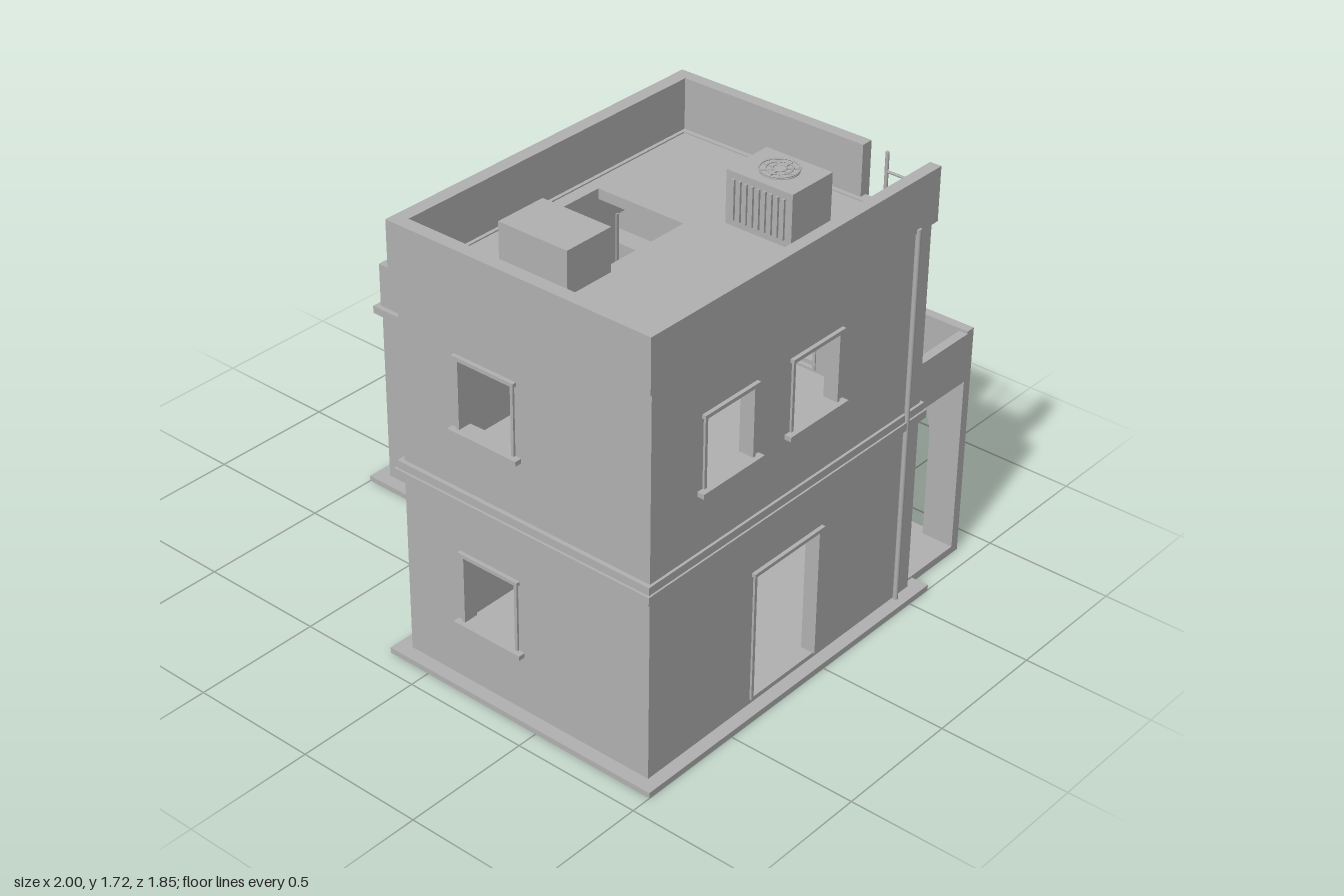
import * as THREE from 'three';

export function createModel() {
  const model = new THREE.Group();
  model.name = 'house';
  const plaster = new THREE.MeshStandardMaterial({ color: 0xb2b2b2 });
  plaster.name = 'grey plaster';

  const add = (name, geo) => {
    const m = new THREE.Mesh(geo, plaster);
    m.name = name;
    model.add(m);
    return m;
  };
  // box from its minimum and maximum on each axis
  const box = (name, x0, x1, y0, y1, z0, z1) => {
    const m = add(name, new THREE.BoxGeometry(x1 - x0, y1 - y0, z1 - z0));
    m.position.set((x0 + x1) / 2, (y0 + y1) / 2, (z0 + z1) / 2);
    return m;
  };
  const rod = (name, a, b, r, sides = 8) => {
    const p = new THREE.Vector3(...a), q = new THREE.Vector3(...b), d = q.clone().sub(p);
    const m = add(name, new THREE.CylinderGeometry(r, r, d.length(), sides));
    m.position.copy(p).add(q).multiplyScalar(0.5);
    m.quaternion.setFromUnitVectors(new THREE.Vector3(0, 1, 0), d.normalize());
  };
  const outline = (pts, C = THREE.Shape) => new C(pts.map(([x, y]) => new THREE.Vector2(x, y)));
  const rect = (a, b, c, d, C) => outline([[a, c], [b, c], [b, d], [a, d]], C);
  const extrude = (shape, depth) => new THREE.ExtrudeGeometry(shape, { depth, bevelEnabled: false, curveSegments: 16 });
  // horizontal slab with an outline in x and z
  const slab = (name, pts, y0, y1, hole) => {
    const s = outline(pts.map(([x, z]) => [x, -z]));
    if (hole) s.holes.push(rect(hole[0], hole[1], -hole[3], -hole[2], THREE.Path));
    const m = add(name, extrude(s, y1 - y0));
    m.rotation.x = -Math.PI / 2;
    m.position.y = y0;
  };

  // wall facing side 's' along 'axis', with trimmed openings [u0, u1, y0, y1]
  const T = 0.045;
  const wall = (name, axis, s, face, u0, u1, y0, y1, openings = []) => {
    const shape = rect(u0, u1, y0, y1);
    openings.forEach(o => shape.holes.push(rect(...o, THREE.Path)));
    const m = add(name, extrude(shape, T));
    if (axis === 'x') {
      m.rotation.y = -Math.PI / 2;
      m.position.x = s > 0 ? face : face + T;
    } else m.position.z = s > 0 ? face - T : face;
    const bar = (n, a, b, c, d, inner, outer) => {
      const p = face + s * inner, q = face + s * outer, lo = Math.min(p, q), hi = Math.max(p, q);
      if (axis === 'x') box(n, lo, hi, c, d, a, b);
      else box(n, a, b, c, d, lo, hi);
    };
    openings.forEach(([a, b, c, d]) => {
      bar('lintel', a - 0.012, b + 0.012, d - 0.004, d + 0.01, -T, 0.015);
      bar('jamb', a - 0.004, a + 0.008, c, d, -T - 0.005, 0.008);
      bar('jamb', b - 0.008, b + 0.004, c, d, -T - 0.005, 0.008);
      if (d - c < 0.4) bar('sill', a - 0.028, b + 0.028, c - 0.016, c + 0.002, -T, 0.027);
    });
  };
  const low = [0.26, 0.535], high = [1.03, 1.3];

  // ground
  slab('base', [[-1, -0.61], [1, -0.61], [1, 0.92], [-0.18, 0.92], [-0.18, 0.21], [-1, 0.21]], 0, 0.022);
  box('porchFloor', -0.94, 0.93, 0, 0.03, -0.885, -0.56);
  box('towerFloor', -0.12, 0.94, 0.02, 0.038, -0.55, 0.86);
  box('wingFloor', -0.93, -0.12, 0.02, 0.038, -0.55, 0.14);

  // tower, two storeys
  const X0 = -0.125, X1 = 0.95, Z0 = -0.555, Z1 = 0.868;
  wall('lowerFrontWall', 'z', 1, Z1, X0, X1, 0.02, 0.75, [[0.135, 0.38, ...low]]);
  wall('upperFrontWall', 'z', 1, Z1, X0, X1, 0.75, 1.51, [[0.135, 0.38, ...high]]);
  wall('lowerBackWall', 'z', -1, Z0, X0, X1, 0.02, 0.75, [[-0.17 + 0.06, 0.165, 0.04, 0.55], [0.455, 0.7, ...low]]);
  wall('upperBackWall', 'z', -1, Z0, X0, X1, 0.75, 1.51, [[0.185, 0.53, 0.78, 1.33]]);
  wall('lowerRightWall', 'x', 1, X1, Z0, Z1, 0.02, 0.75, [[-0.01, 0.34, 0.04, 0.555]]);
  wall('upperRightWall', 'x', 1, X1, Z0, Z1, 0.75, 1.51, [[0.368, 0.615, ...high], [-0.072, 0.176, ...high]]);
  wall('lowerLeftWall', 'x', -1, X0, Z0, Z1, 0.02, 0.75, [[0.4, 0.645, ...low]]);
  wall('upperLeftWall', 'x', -1, X0, Z0, Z1, 0.75, 1.51, [[-0.49, -0.15, 0.78, 1.33], [0.16, 0.41, ...high]]);
  box('upperFloor', X0 + 0.02, X1 - 0.02, 0.735, 0.77, Z0 + 0.02, Z1 - 0.02);

  // ledge between the storeys, in two steps
  const ring = (name, x0, x1, z0, z1, t, y0, y1) => {
    box(name, x0, x1, y0, y1, z1 - t, z1);
    box(name, x0, x1, y0, y1, z0, z0 + t);
    box(name, x0, x0 + t, y0, y1, z0 + t, z1 - t);
    box(name, x1 - t, x1, y0, y1, z0 + t, z1 - t);
  };
  ring('storeyLedge', -0.15, 0.967, -0.575, 0.893, 0.04, 0.735, 0.767);
  ring('storeyBand', -0.142, 0.96, -0.568, 0.884, 0.04, 0.767, 0.797);

  // roof, parapet with a gap at the ladder
  slab('roof', [[X0, Z0], [X1, Z0], [X1, Z1], [X0, Z1]].map(([x, z]) => [x * 0.99, z * 0.99]),
    1.465, 1.505, [-0.03, 0.345, 0, 0.38]);
  box('parapetFront', -0.147, 0.96, 1.5, 1.705, 0.834, 0.885);
  box('parapetLeft', -0.147, -0.094, 1.5, 1.705, -0.575, 0.834);
  box('parapetRight', 0.915, 0.96, 1.5, 1.705, -0.575, 0.834);
  box('parapetBack', -0.094, 0.676, 1.5, 1.705, -0.575, -0.528);

  // single storey wing
  wall('wingFrontWall', 'z', 1, 0.158, -0.945, X0, 0.02, 0.75, [[-0.69, -0.445, ...low]]);
  wall('wingLeftWall', 'x', -1, -0.945, -0.555, 0.158, 0.02, 0.75, [[-0.295, -0.05, ...low]]);
  wall('wingBackWall', 'z', -1, -0.555, -0.945, X0, 0.02, 0.75);
  box('wingRoof', -0.94, X0, 0.74, 0.77, -0.55, 0.15);
  box('wingLedge', -0.97, -0.13, 0.735, 0.765, 0.13, 0.18);
  box('wingLedge', -0.97, -0.93, 0.735, 0.765, -0.575, 0.13);
  box('wingParapet', -0.95, -0.13, 0.765, 0.94, 0.13, 0.16);
  box('wingParapet', -0.95, -0.917, 0.765, 0.94, -0.556, 0.13);
  box('wingParapet', -0.917, -0.13, 0.765, 0.94, -0.556, -0.53);

  // rear porch with three arches
  const arcade = rect(-0.94, 0.93, 0.0, 0.94);
  [-0.62, 0, 0.61].forEach(c => {
    const h = new THREE.Path();
    h.moveTo(c - 0.19, 0.03);
    h.lineTo(c + 0.19, 0.03);
    h.lineTo(c + 0.19, 0.46);
    h.absarc(c, 0.46, 0.19, 0, Math.PI, false);
    h.lineTo(c - 0.19, 0.03);
    arcade.holes.push(h);
    box('archBar', c - 0.175, c + 0.175, 0.715, 0.728, -0.928, -0.916);
  });
  add('arcade', extrude(arcade, 0.037)).position.z = -0.889;
  [[-0.94, -0.9], [0.895, 0.93]].forEach(([a, b]) => box('porchSideBeam', a, b, 0.735, 0.93, -0.86, -0.56));
  slab('porchRoof', [[-0.92, -0.87], [0.91, -0.87], [0.91, -0.56], [-0.92, -0.56]],
    0.735, 0.77, [0.68, 0.897, -0.75, -0.577]);

  // ladder to the roof
  [0.715, 0.895].forEach(x => {
    rod('ladderRail', [x, 0.03, -0.615], [x, 1.66, -0.615], 0.007);
    for (let i = 0; i < 7; i++) rod('ladderBracket', [x, 0.07 + i * 0.212, -0.615], [x, 0.07 + i * 0.212, -0.555], 0.005, 6);
  });
  for (let i = 0; i < 23; i++) rod('ladderRung', [0.715, 0.09 + i * 0.068, -0.615], [0.895, 0.09 + i * 0.068, -0.615], 0.005, 6);

  // drain pipe
  rod('drainPipe', [0.96, 0.02, -0.468], [0.96, 1.515, -0.468], 0.01, 10);

  // rooftop cooling unit with fan and grille, and a plain box
  box('coolingUnit', 0.445, 0.72, 1.505, 1.705, -0.305, -0.095);
  rod('fanPlate', [0.583, 1.7, -0.2], [0.583, 1.709, -0.2], 0.068, 24);
  [0.068, 0.046, 0.024].forEach(r => {
    const t = add('fanGuard', new THREE.TorusGeometry(r, 0.003, 6, 24));
    t.rotation.x = Math.PI / 2;
    t.position.set(0.583, 1.715, -0.2);
  });
  for (let i = 0; i < 4; i++) {
    const m = box('fanBlade', 0.52, 0.646, 1.709, 1.714, -0.206, -0.194);
    m.rotation.y = i * Math.PI / 4;
  }
  for (let i = 0; i < 9; i++) box('grilleSlat', 0.474 + i * 0.026, 0.484 + i * 0.026, 1.53, 1.68, -0.096, -0.086);
  box('unitBackPanel', 0.465, 0.7, 1.52, 1.69, -0.313, -0.303);
  box('roofBox', 0.085, 0.38, 1.5, 1.67, 0.402, 0.612);

  // open stair up to the roof hatch
  for (let i = 0; i < 11; i++) {
    const y = 0.83 + i * 0.064, z = -0.2 + i * 0.054;
    box('stairTread', 0.055, 0.26, y, y + 0.012, z, z + 0.045);
  }
  [0.055, 0.252].forEach(x => {
    const m = box('stairRail', x, x + 0.01, 0.7, 1.54, 0.05, 0.085);
    m.scale.y = 1.04;
    m.rotation.x = Math.atan2(0.054, 0.064);
    m.position.set(x + 0.005, 1.13, 0.07);
  });

  // simple furniture
  box('wingCabinet', -0.72, -0.57, 0.038, 0.32, -0.2, 0);
  box('wingTable', -0.535, -0.4, 0.038, 0.325, -0.2, 0);
  box('upperCabinet', 0.5, 0.7, 0.77, 1.085, 0.52, 0.72);

  return model;
}
